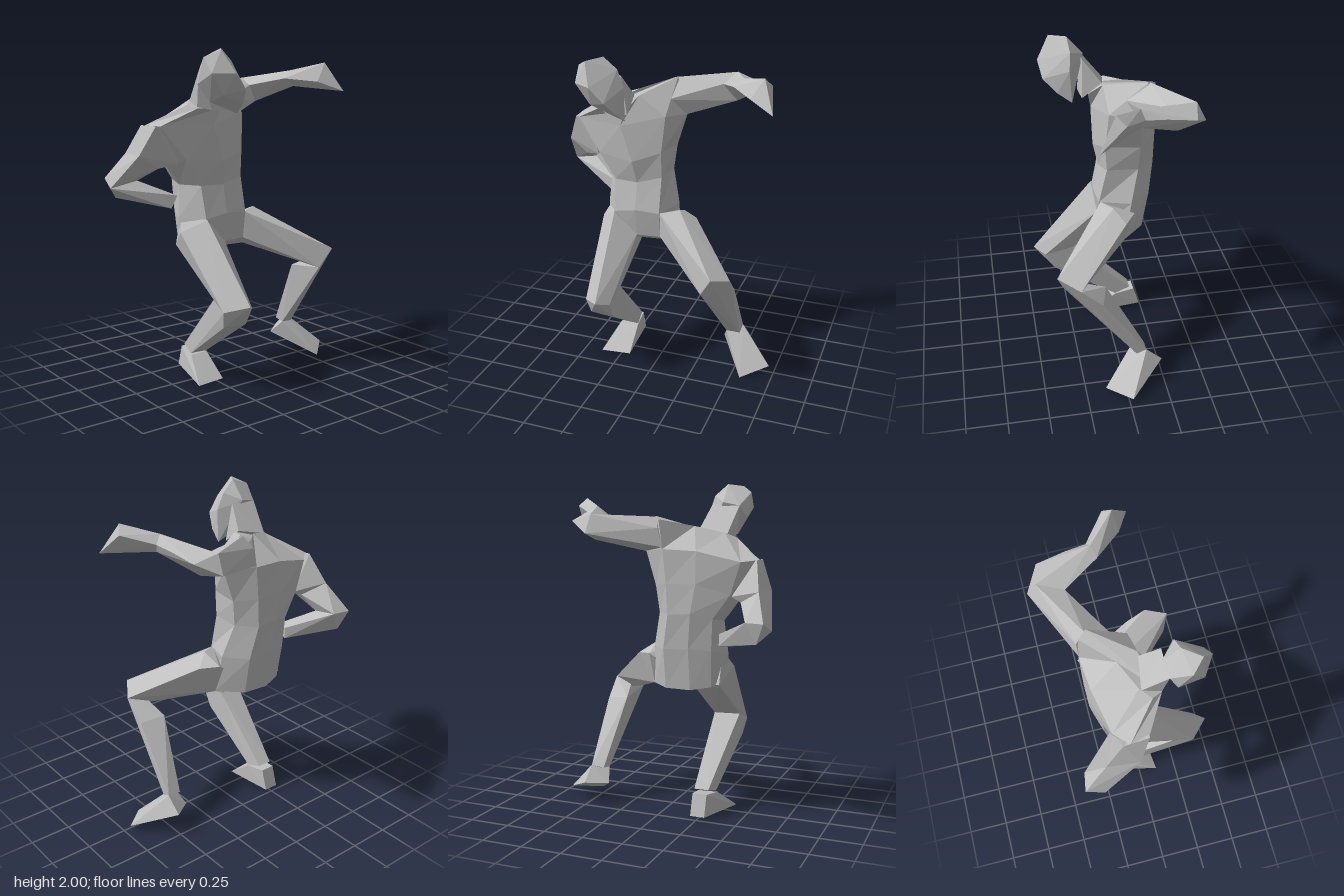
import * as THREE from 'three';
import { ConvexGeometry } from 'three/addons/geometries/ConvexGeometry.js';

// Faceted skin through rings of points (bottom to top), closed at both ends.
function loft(rings) {
  const n = rings[0].length, pos = [];
  const tri = (a, b, c) => pos.push(...a, ...b, ...c);
  for (let r = 0; r < rings.length - 1; r++) {
    for (let i = 0; i < n; i++) {
      const j = (i + 1) % n, lo = rings[r], hi = rings[r + 1];
      tri(lo[i], lo[j], hi[j]);
      tri(lo[i], hi[j], hi[i]);
    }
  }
  const first = rings[0], last = rings[rings.length - 1];
  for (let i = 1; i < n - 1; i++) {
    tri(first[0], first[i + 1], first[i]);
    tri(last[0], last[i], last[i + 1]);
  }
  const g = new THREE.BufferGeometry();
  g.setAttribute('position', new THREE.Float32BufferAttribute(pos, 3));
  g.computeVertexNormals();
  return g;
}

// Faceted solid wrapped around a few corner points.
const hull = (...pts) => new ConvexGeometry(pts.map(p => new THREE.Vector3(...p)));

export function createModel() {
  const model = new THREE.Group();
  model.name = 'crouchingFigure';
  const clay = new THREE.MeshStandardMaterial({ color: 0xbfbfbf, flatShading: true });
  clay.name = 'grey clay';
  const add = (name, geometry) => {
    const mesh = new THREE.Mesh(geometry, clay);
    mesh.name = name;
    model.add(mesh);
  };

  // Torso rings: front right, front, front left, left, back left, back, back right, right
  add('torso', loft([
    [[-.28, .83, .05], [-.15, .855, .06], [0, .855, .045], [.09, .79, -.08],
      [-.04, .79, -.21], [-.2, .79, -.225], [-.32, .81, -.19], [-.38, .85, -.05]],
    [[-.29, 1, .07], [-.15, 1.03, .085], [0, 1.02, .07], [.07, 1.03, -.12],
      [-.04, 1.03, -.25], [-.2, 1.04, -.26], [-.33, 1.03, -.22], [-.39, 1, -.08]],
    [[-.3, 1.2, .03], [-.15, 1.2, .05], [0, 1.24, .02], [.015, 1.24, -.17],
      [-.08, 1.24, -.28], [-.22, 1.25, -.28], [-.34, 1.22, -.23], [-.37, 1.2, -.1]],
    [[-.4, 1.36, .03], [-.17, 1.34, .08], [0, 1.4, .03], [.035, 1.4, -.18],
      [-.07, 1.42, -.283], [-.25, 1.42, -.275], [-.44, 1.36, -.21], [-.46, 1.32, -.1]],
    [[-.55, 1.56, -.01], [-.24, 1.56, .08], [.02, 1.62, .01], [.1, 1.6, -.17],
      [-.05, 1.62, -.285], [-.25, 1.61, -.265], [-.5, 1.55, -.21], [-.585, 1.56, -.13]],
    [[-.37, 1.66, .1], [-.2, 1.66, .1], [-.14, 1.74, .02], [.02, 1.81, -.22],
      [-.02, 1.79, -.27], [-.18, 1.75, -.1], [-.34, 1.71, -.02], [-.4, 1.68, .04]],
  ]));

  // Head and neck, thrust forward
  add('neck', hull([-.35, 1.7, -.01], [-.17, 1.74, .02], [-.37, 1.67, .1], [-.17, 1.65, .14],
    [-.3, 1.65, .15], [-.38, 1.87, .13], [-.21, 1.88, .13]));
  add('head', hull([-.28, 2, .21], [-.35, 1.99, .31], [-.42, 1.95, .24], [-.2, 1.93, .2],
    [-.16, 1.83, .21], [-.16, 1.63, .2], [-.3, 1.86, .385], [-.22, 1.77, .365],
    [-.415, 1.8, .17], [-.35, 1.7, .2], [-.28, 1.89, .115], [-.38, 1.87, .13],
    [-.415, 1.86, .31], [-.18, 1.69, .285], [-.33, 1.74, .3]));

  // Left arm, raised sideways with the forearm bent forward
  add('leftUpperArm', hull([0, 1.7, -.08], [.01, 1.805, -.23], [-.02, 1.74, -.285],
    [.1, 1.6, -.16], [-.05, 1.63, -.283], [.29, 1.775, -.27], [.34, 1.82, -.42],
    [.35, 1.71, -.475], [.37, 1.67, -.31]));
  add('leftForearm', hull([.29, 1.775, -.27], [.34, 1.82, -.42], [.35, 1.71, -.475],
    [.48, 1.78, -.39], [.37, 1.67, -.31], [.41, 1.82, -.06], [.47, 1.87, -.08],
    [.51, 1.82, -.1], [.49, 1.77, -.07], [.5, 1.81, -.22]));
  add('leftHand', hull([.41, 1.82, -.06], [.47, 1.87, -.08], [.51, 1.82, -.1], [.49, 1.77, -.07],
    [.625, 1.92, .08], [.66, 1.87, .03], [.7, 1.74, .18], [.55, 1.8, .1]));

  // Right arm, elbow back and hand on the hip
  const biceps = [[-.65, 1.39, -.085], [-.63, 1.39, -.28], [-.53, 1.31, -.07], [-.5, 1.32, -.2]];
  const elbow = [[-.72, 1.18, -.31], [-.7, 1.23, -.42], [-.59, 1.23, -.4], [-.56, 1.22, -.27]];
  add('rightShoulder', hull(...biceps, [-.585, 1.56, -.17], [-.575, 1.56, -.02],
    [-.43, 1.33, -.02], [-.44, 1.35, -.19], [-.48, 1.55, 0]));
  add('rightUpperArm', hull(...biceps, ...elbow));
  add('rightForearm', hull(...elbow, [-.65, 1.11, -.38], [-.37, 1.13, -.12],
    [-.4, 1.05, -.14], [-.37, 1.06, -.2], [-.37, 1.13, -.2]));

  // Left leg, stepping out to the side
  const leftKnee = [[.43, .79, .39], [.515, .74, .26], [.36, .67, .35]];
  const leftAnkle = [[.415, .21, -.065], [.505, .23, -.14]];
  add('leftThigh', hull(...leftKnee, [.4, .68, .24], [0, 1.02, .06], [.11, 1.035, 0],
    [.1, .98, -.135], [.2, .97, -.065], [0, .855, .045], [.09, .79, -.08], [-.02, .9, -.1]));
  add('leftCalf', hull(...leftKnee, ...leftAnkle, [.36, .64, .09], [.51, .62, .13],
    [.5, .2, -.08], [.42, .22, -.14]));
  add('leftFoot', hull(...leftAnkle, [.38, .125, -.15], [.505, .14, -.24],
    [.715, .03, -.02], [.56, 0, .125]));

  // Right leg, knee bent forward under the body
  const rightKnee = [[-.375, .51, .36], [-.265, .55, .47], [-.2, .52, .4],
    [-.36, .56, .24], [-.2, .56, .22]];
  add('rightThigh', hull(...rightKnee, [-.41, .92, -.03], [-.29, 1, .08], [-.36, 1.02, -.1],
    [-.15, .855, .06], [-.16, .8, -.08], [-.36, .82, -.16]));
  add('rightCalf', hull(...rightKnee, [-.355, .41, .33], [-.2, .41, .34], [-.315, .14, -.07],
    [-.2, .135, -.07], [-.3, .17, -.17], [-.21, .17, -.17]));
  add('rightFoot', hull([-.32, .13, -.06], [-.2, .13, -.07], [-.3, .15, -.2], [-.21, .15, -.2],
    [-.3, .02, -.24], [-.21, .02, -.24], [-.385, 0, .12], [-.195, 0, .1]));

  return model;
}
